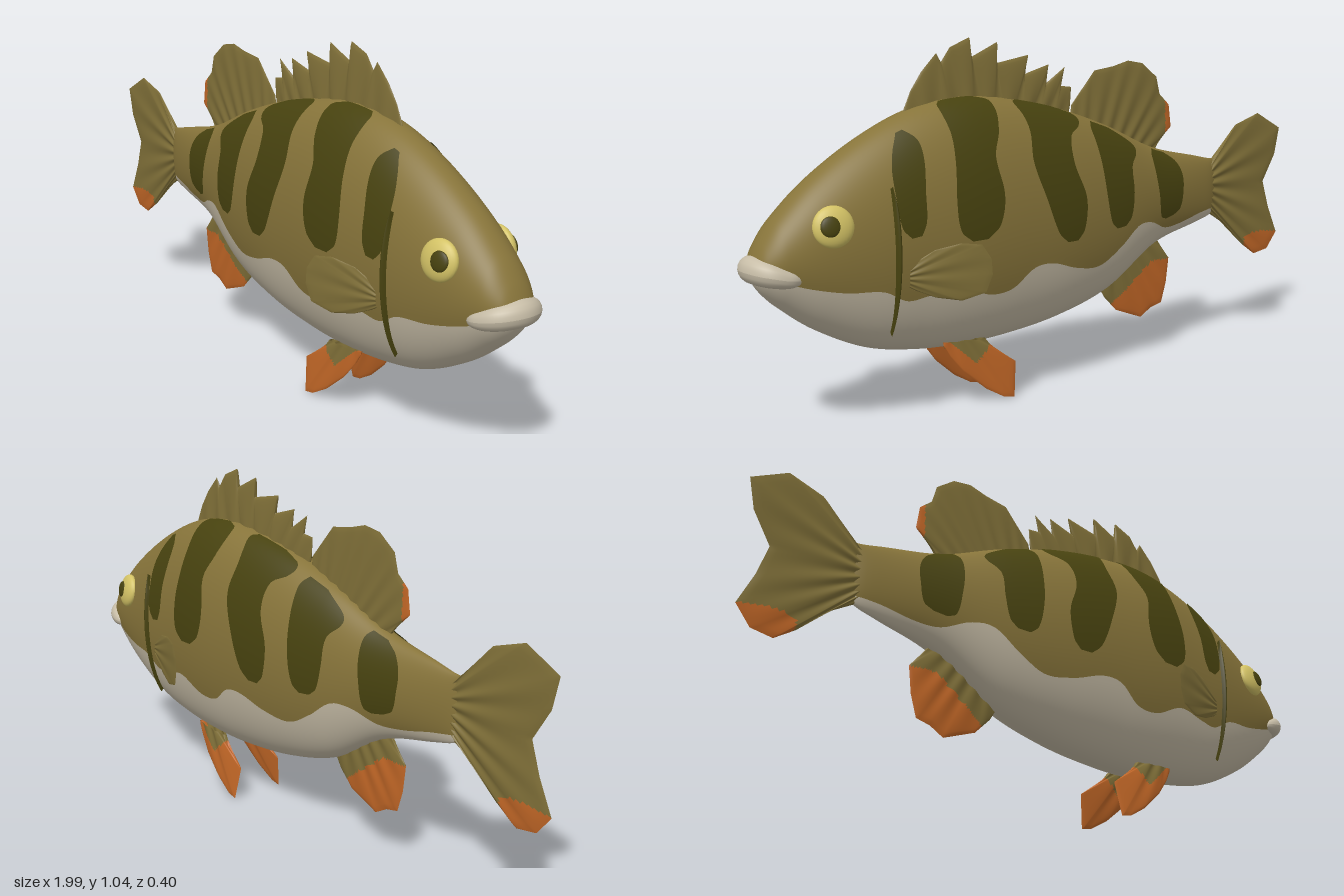
import * as THREE from 'three';

const mat = (name, color, side = THREE.FrontSide) => {
  const m = new THREE.MeshStandardMaterial({ color, side });
  m.name = name;
  return m;
};

// Smooth lookup of column k in a table sorted by its first column
function at(table, x, k) {
  const n = table.length - 1;
  x = Math.min(Math.max(x, table[0][0]), table[n][0]);
  let i = 0;
  while (i < n - 1 && x > table[i + 1][0]) i++;
  const slope = (j) => {
    const a = table[Math.max(j - 1, 0)], b = table[Math.min(j + 1, n)];
    return (b[k] - a[k]) / (b[0] - a[0]);
  };
  const p = table[i], q = table[i + 1], d = q[0] - p[0], t = (x - p[0]) / d;
  const t2 = t * t, t3 = t2 * t;
  return p[k] * (2 * t3 - 3 * t2 + 1) + q[k] * (3 * t2 - 2 * t3)
    + d * (slope(i) * (t3 - 2 * t2 + t) + slope(i + 1) * (t3 - t2));
}

// Grid surface; pick(x, y) chooses the material index of each cell
function sheet(nu, nv, f, flip = false, pick = () => 0) {
  const pos = [], cells = [[], []];
  for (let j = 0; j <= nv; j++) for (let i = 0; i <= nu; i++) pos.push(...f(i / nu, j / nv));
  for (let j = 0; j < nv; j++) for (let i = 0; i < nu; i++) {
    const a = j * (nu + 1) + i, b = a + 1, c = a + nu + 1, d = c + 1;
    const mid = (k) => (pos[a * 3 + k] + pos[b * 3 + k] + pos[c * 3 + k] + pos[d * 3 + k]) / 4;
    cells[pick(mid(0), mid(1))].push(...(flip ? [a, c, b, b, c, d] : [a, b, c, b, d, c]));
  }
  const g = new THREE.BufferGeometry();
  g.setAttribute('position', new THREE.Float32BufferAttribute(pos, 3));
  g.setIndex([...cells[0], ...cells[1]]);
  g.addGroup(0, cells[0].length, 0);
  if (cells[1].length) g.addGroup(cells[0].length, cells[1].length, 1);
  g.computeVertexNormals();
  return g;
}

// Body sections: x, top, bottom, half width
const BODY = [
  [-0.7, 0.62, 0.45, 0], [-0.66, 0.622, 0.43, 0.018], [-0.6, 0.635, 0.415, 0.032], [-0.4, 0.68, 0.365, 0.07],
  [-0.2, 0.765, 0.25, 0.112], [0, 0.83, 0.195, 0.14], [0.2, 0.87, 0.172, 0.152], [0.35, 0.878, 0.17, 0.154],
  [0.5, 0.85, 0.182, 0.146], [0.65, 0.785, 0.215, 0.134], [0.8, 0.69, 0.29, 0.112], [0.9, 0.6, 0.365, 0.087],
  [0.94, 0.548, 0.405, 0.066], [0.962, 0.505, 0.44, 0.04], [0.972, 0.47, 0.468, 0.002],
];
// Height of the wavy pale belly edge
const BELLY = [
  [-0.7, 0.46], [-0.6, 0.448], [-0.5, 0.428], [-0.42, 0.425], [-0.34, 0.455], [-0.27, 0.455], [-0.19, 0.4],
  [-0.1, 0.355], [0, 0.365], [0.1, 0.395], [0.17, 0.39], [0.24, 0.34], [0.32, 0.335], [0.42, 0.375],
  [0.52, 0.36], [0.58, 0.355], [0.65, 0.39], [0.75, 0.4], [0.84, 0.42], [0.9, 0.44], [0.972, 0.469],
];

function skin(x, angle, lift = 0) {
  const top = at(BODY, x, 1), bottom = at(BODY, x, 2);
  return [x, (top + bottom) / 2 + ((top - bottom) / 2 + lift) * Math.sin(angle),
    (at(BODY, x, 3) + lift) * Math.cos(angle)];
}

function bellyAngle(x) {
  const top = at(BODY, x, 1), bottom = at(BODY, x, 2);
  const s = (at(BELLY, x, 1) - (top + bottom) / 2) / ((top - bottom) / 2);
  return Math.asin(Math.min(Math.max(s, -0.95), 0.95));
}

// Patch lying on one flank; rows are [relative height, rear x, front x]
function flankPatch(rows, side, lift, bulge = 0) {
  const s0 = rows[0][0], s1 = rows[rows.length - 1][0];
  return sheet(14, 40, (u, v) => {
    const s = s0 + (s1 - s0) * (1 - Math.cos(Math.PI * v)) / 2;
    const x = THREE.MathUtils.lerp(at(rows, s, 1), at(rows, s, 2), u);
    const p = skin(x, Math.asin(s), lift + bulge * Math.sin(Math.PI * u));
    return [p[0], p[1], p[2] * side];
  }, side < 0);
}

const STRIPES = [
  [[-0.42, -0.45, -0.41], [-0.33, -0.48, -0.385], [0.1, -0.495, -0.37], [0.5, -0.495, -0.36], [0.8, -0.47, -0.36], [0.93, -0.43, -0.375]],
  [[-0.16, -0.2, -0.16], [-0.08, -0.225, -0.135], [0.2, -0.24, -0.115], [0.55, -0.245, -0.105], [0.75, -0.28, -0.1], [0.87, -0.27, -0.1], [0.95, -0.19, -0.115]],
  [[-0.19, 0.01, 0.05], [-0.1, -0.015, 0.085], [0.2, -0.025, 0.13], [0.5, 0.01, 0.165], [0.75, 0.0, 0.155], [0.87, -0.05, 0.16], [0.97, -0.05, 0.17], [0.99, 0.02, 0.15]],
  [[-0.07, 0.34, 0.39], [0.02, 0.3, 0.425], [0.25, 0.28, 0.435], [0.55, 0.295, 0.425], [0.75, 0.265, 0.42], [0.97, 0.255, 0.425], [0.992, 0.3, 0.41]],
  [[0.06, 0.545, 0.575], [0.16, 0.53, 0.6], [0.4, 0.525, 0.61], [0.65, 0.515, 0.61], [0.8, 0.52, 0.595], [0.91, 0.55, 0.57]],
];
const GILL = [[-0.78, 0.613, 0.616], [-0.3, 0.606, 0.622], [0.3, 0.608, 0.624], [0.53, 0.62, 0.623]];

// Point along a polyline at u in 0..1
function along(pts, u) {
  const f = u * (pts.length - 1), i = Math.min(Math.floor(f), pts.length - 2), t = f - i;
  return [0, 1].map((k) => pts[i][k] + (pts[i + 1][k] - pts[i][k]) * t);
}

// Ribbed fin from a base line to an outer edge, thinning to its rim
function fin(name, base, outer, mats, { thick = 0.012, ribs = 8, tip = () => false, plane = () => 0 } = {}) {
  const group = new THREE.Group();
  group.name = name;
  const nu = 10 * (outer.length - 1);
  for (const face of [1, -1]) {
    const g = sheet(nu, 24, (u, v) => {
      const a = along(base, u), b = along(outer, u);
      const x = a[0] + (b[0] - a[0]) * v, y = a[1] + (b[1] - a[1]) * v;
      const rim = Math.pow(Math.max(Math.sin(Math.PI * u), 0), 0.3) * Math.sqrt(1 - v);
      const rib = 1 + 0.22 * Math.cos(u * ribs * Math.PI * 2);
      return [x, y, plane(x, y) + face * thick * rim * rib];
    }, face < 0, (x, y) => (tip(x, y) ? 1 : 0));
    const m = new THREE.Mesh(g, mats);
    m.name = name + (face > 0 ? 'LeftFace' : 'RightFace');
    group.add(m);
  }
  return group;
}

export function createModel() {
  const fish = new THREE.Group();
  fish.name = 'fish';
  const olive = mat('olive skin', 0x87743a), cream = mat('pale belly', 0xc6bca6);
  const dark = mat('dark stripe', 0x47420f, THREE.DoubleSide), yellow = mat('yellow eye', 0xd3c265);
  const finOlive = mat('olive fin', 0x7f6f38, THREE.DoubleSide), orange = mat('orange fin tip', 0xc06626, THREE.DoubleSide);
  const finMats = [finOlive, orange];
  const add = (name, geo, material) => {
    const m = new THREE.Mesh(geo, material);
    m.name = name;
    fish.add(m);
    return m;
  };

  // Body: olive back and pale belly meet along the wavy edge
  const xAt = (u) => -0.7 + 1.672 * Math.sin(u * Math.PI / 2);
  add('back', sheet(150, 56, (u, v) => {
    const x = xAt(u), b = bellyAngle(x);
    return skin(x, b + (Math.PI - 2 * b) * v);
  }), olive);
  add('belly', sheet(150, 40, (u, v) => {
    const x = xAt(u), b = bellyAngle(x);
    return skin(x, Math.PI - b + (Math.PI + 2 * b) * v);
  }), cream);

  // Lips: tube bent round the snout, tapered at the corners
  const lipPath = new THREE.CatmullRomCurve3([
    [0.865, 0.445, 0.082], [0.9, 0.453, 0.076], [0.937, 0.465, 0.052], [0.956, 0.472, 0],
    [0.937, 0.465, -0.052], [0.9, 0.453, -0.076], [0.865, 0.445, -0.082],
  ].map((p) => new THREE.Vector3(...p)));
  add('lips', sheet(48, 20, (u, v) => {
    const p = lipPath.getPointAt(u), t = lipPath.getTangentAt(u);
    const out = new THREE.Vector3(-t.z, 0, t.x).normalize();
    const r = 0.037 * Math.pow(Math.max(Math.sin(Math.PI * u), 0), 0.45), a = v * Math.PI * 2;
    p.addScaledVector(out, r * Math.cos(a));
    return [p.x, p.y + r * Math.sin(a), p.z];
  }, true), cream).material.side = THREE.DoubleSide;

  for (const s of [1, -1]) {
    const tag = s > 0 ? 'Left' : 'Right';
    STRIPES.forEach((rows, i) => add(`stripe${tag}${i + 1}`, flankPatch(rows, s, 0.003), dark));
    add('gillSlit' + tag, flankPatch(GILL, s, 0.003, 0.012), dark);

    // Eyes
    const eye = new THREE.Group();
    eye.name = 'eye' + tag;
    const ball = new THREE.Mesh(new THREE.SphereGeometry(0.055, 28, 18), yellow);
    ball.scale.z = 0.42;
    ball.name = 'eyeball' + tag;
    const pupil = new THREE.Mesh(new THREE.SphereGeometry(0.027, 20, 14), dark);
    pupil.scale.z = 0.3;
    pupil.position.set(0.012, 0.001, s * 0.019);
    pupil.name = 'pupil' + tag;
    eye.add(ball, pupil);
    eye.position.set(0.785, 0.578, s * 0.106);
    eye.rotation.set(-s * 0.2, s * 0.2, 0);
    fish.add(eye);

    // Pectoral and pelvic fins
    fish.add(fin('pectoralFin' + tag, [[0.58, 0.45], [0.58, 0.395]],
      [[0.565, 0.46], [0.51, 0.49], [0.44, 0.503], [0.385, 0.495], [0.36, 0.455], [0.357, 0.41], [0.375, 0.362], [0.44, 0.345], [0.51, 0.36], [0.565, 0.385]],
      finMats, { thick: 0.007, ribs: 5, plane: (x) => s * (0.13 + (0.58 - x) * 0.31) }));
    fish.add(fin('pelvicFin' + tag, [[0.29, 0.19], [0.43, 0.2]],
      [[0.27, 0.158], [0.225, 0.13], [0.19, 0.105], [0.205, 0.003], [0.24, 0.01], [0.3, 0.045], [0.37, 0.105], [0.41, 0.155], [0.43, 0.19]],
      finMats, { thick: 0.011, ribs: 3, plane: (x, y) => s * (0.062 + (0.19 - y) * 0.14), tip: (x, y) => y < 0.125 + 0.9 * Math.abs(x - 0.33) }));
  }

  // Tail fin
  fish.add(fin('tailFin', [[-0.65, 0.6], [-0.64, 0.53], [-0.65, 0.45]],
    [[-0.67, 0.615], [-0.71, 0.645], [-0.785, 0.725], [-0.89, 0.757], [-1, 0.7], [-0.98, 0.61], [-0.925, 0.52],
      [-0.955, 0.43], [-1, 0.335], [-0.955, 0.28], [-0.89, 0.27], [-0.83, 0.31], [-0.76, 0.38], [-0.66, 0.44]],
    finMats, { thick: 0.014, ribs: 9, tip: (x, y) => x < -0.835 && y < 0.35 - 0.12 * Math.abs(x + 0.9) }));

  // Rear dorsal fin
  fish.add(fin('rearDorsalFin', [[-0.41, 0.66], [-0.25, 0.72], [-0.07, 0.78]],
    [[-0.42, 0.685], [-0.485, 0.74], [-0.475, 0.81], [-0.435, 0.845], [-0.42, 0.9], [-0.36, 0.945], [-0.3, 0.955],
      [-0.24, 0.94], [-0.165, 0.93], [-0.12, 0.88], [-0.075, 0.83]],
    finMats, { ribs: 8, tip: (x, y) => x < -0.458 && y < 0.82 }));

  // Spiny front dorsal fin: swept tips alternate with scalloped dips
  fish.add(fin('spinyDorsalFin', [[-0.06, 0.79], [0.1, 0.83], [0.3, 0.86], [0.51, 0.83]],
    [[-0.07, 0.83], [-0.075, 0.885], [-0.035, 0.89], [-0.05, 0.945], [0.02, 0.9], [0.01, 0.955], [0.1, 0.93], [0.085, 0.985],
      [0.2, 0.965], [0.195, 1.025], [0.285, 0.985], [0.29, 1.04], [0.355, 1.015], [0.385, 0.975], [0.4, 1.0],
      [0.45, 0.95], [0.485, 0.9], [0.51, 0.845]],
    finMats, { thick: 0.014, ribs: 9 }));

  // Anal fin
  fish.add(fin('analFin', [[-0.42, 0.4], [-0.3, 0.34], [-0.18, 0.27]],
    [[-0.43, 0.375], [-0.485, 0.31], [-0.475, 0.23], [-0.455, 0.165], [-0.41, 0.155], [-0.365, 0.13], [-0.26, 0.17], [-0.21, 0.22], [-0.185, 0.26]],
    finMats, { ribs: 6, tip: (x, y) => y < 0.31 - 0.72 * Math.max(0, x + 0.4) }));

  return fish;
}
